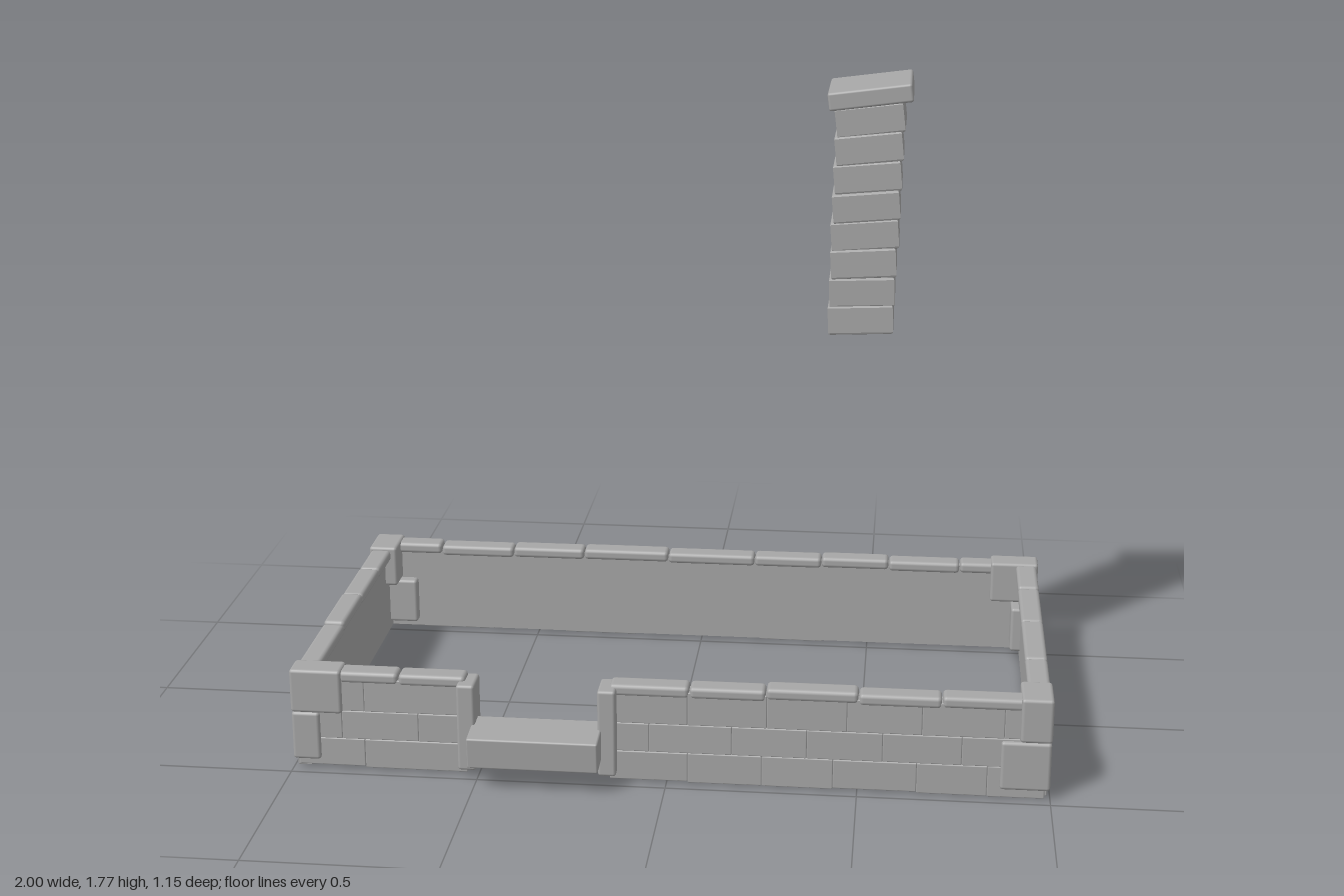
import * as THREE from 'three';
import { RoundedBoxGeometry } from 'three/addons/geometries/RoundedBoxGeometry.js';

const stone = new THREE.MeshStandardMaterial({ color: 0xa6a6a6 });
stone.name = 'grey stone';

// Small seeded jitter in the range -1..1
let seed = 7;
function jitter() {
  seed = (seed * 16807) % 2147483647;
  return (seed / 2147483647) * 2 - 1;
}

// Softly edged block given by its limits on each axis
function block(parent, name, [x0, x1], [y0, y1], [z0, z1], radius = 0.006, segments = 1) {
  const mesh = new THREE.Mesh(new RoundedBoxGeometry(x1 - x0, y1 - y0, z1 - z0, segments, radius), stone);
  mesh.name = name;
  mesh.position.set((x0 + x1) / 2, (y0 + y1) / 2, (z0 + z1) / 2);
  parent.add(mesh);
  return mesh;
}

// Wall run along local x, its outer face towards +z at distance `outer`.
// `joints` are the joints of the coping; the courses run from `from` to `to`.
function wallRun(name, outer, angle, joints, from, to) {
  const wall = new THREE.Group();
  wall.name = name;
  wall.rotation.y = angle;

  const backing = new THREE.Mesh(new THREE.BoxGeometry(to - from, 0.255, 0.012), stone);
  backing.name = 'innerFace';
  backing.position.set((from + to) / 2, 0.1375, outer - 0.036);
  wall.add(backing);

  // Three staggered brick courses
  const rows = [0.008, 0.09, 0.17, 0.262];
  for (let r = 0; r < 3; r++) {
    let x = from;
    let length = r % 2 ? 0.11 : 0.2;
    while (x < to - 0.01) {
      let end = x + length + 0.02 * jitter();
      if (to - end < 0.08) end = to;
      const bottom = rows[r] + (r === 0 ? 0.005 * jitter() : 0);
      const brick = block(wall, 'brick', [x, end], [bottom, rows[r + 1]], [outer - 0.036, outer - 0.004], 0.003);
      brick.rotation.y = 0.008 * jitter();
      brick.rotation.x = 0.015 * jitter();
      x = end;
      length = 0.2;
    }
  }

  // Rounded coping stones
  for (let i = 0; i < joints.length - 1; i++) {
    const top = 0.28 + 0.003 * jitter();
    block(wall, 'copingStone', [joints[i] + 0.001, joints[i + 1] - 0.001], [top - 0.032, top],
      [outer - 0.06, outer], 0.011, 2);
  }
  return wall;
}

// Two stacked corner stones, turned across each other
function corner(name, sx, sz, face, topAlongX) {
  const group = new THREE.Group();
  group.name = name;
  const span = (s, edge, size) => (s > 0 ? [edge - size, edge] : [-edge, -edge + size]);
  const sizes = (alongX) => (alongX ? [0.13, 0.075] : [0.075, 0.125]);
  const [tx, tz] = sizes(topAlongX);
  const [bx, bz] = sizes(!topAlongX);
  block(group, 'topCornerStone', span(sx, 1, tx + 0.008), [0.165, 0.287], span(sz, face, tz), 0.009, 2);
  block(group, 'bottomCornerStone', span(sx, 0.999, bx), [0.03, 0.165], span(sz, face - 0.002, bz), 0.009, 2);
  return group;
}

function chimney() {
  const group = new THREE.Group();
  group.name = 'chimney';

  // Hollow, slightly crooked courses
  const n = 8, h = 0.0775, bevel = 0.006;
  const rectangle = (w, d, target) => target.moveTo(-w, -d).lineTo(w, -d).lineTo(w, d).lineTo(-w, d).closePath();
  for (let i = 0; i < n; i++) {
    const t = i / (n - 1);
    const shape = rectangle(0.083 + 0.002 * jitter(), 0.098 + 0.002 * jitter(), new THREE.Shape());
    shape.holes.push(rectangle(0.07, 0.085, new THREE.Path()));
    const geometry = new THREE.ExtrudeGeometry(shape, {
      depth: h - 2 * bevel + 0.003, bevelEnabled: true, bevelSegments: 2,
      bevelSize: bevel, bevelThickness: bevel,
    });
    geometry.translate(0, 0, -h / 2 + bevel);
    geometry.rotateX(-Math.PI / 2);
    const course = new THREE.Mesh(geometry, stone);
    course.name = 'chimneyCourse';
    course.position.set(0.469 + 0.015 * t, 1.09 + h * (i + 0.5), -0.178 - 0.009 * t);
    course.rotation.set(0.01 * jitter(), 0.01 * jitter(), 0.035 + 0.085 * t + 0.01 * jitter());
    group.add(course);
  }

  // Tilted cap slab
  const cap = block(group, 'chimneyCap', [0.372, 0.595], [1.712, 1.761], [-0.315, -0.057], 0.007, 2);
  cap.rotation.z = 0.13;
  return group;
}

function doorway() {
  const group = new THREE.Group();
  group.name = 'doorway';
  block(group, 'leftPost', [-0.178, -0.13], [0.028, 0.27], [0.41, 0.5], 0.008, 2);
  block(group, 'rightPost', [-0.55, -0.502], [0.028, 0.27], [0.41, 0.5], 0.008, 2);
  const step = block(group, 'doorStep', [-0.512, -0.168], [0.073, 0.159], [0.443, 0.572], 0.005);
  step.rotation.x = 0.08;
  return group;
}

export function createModel() {
  const model = new THREE.Group();
  model.name = 'stoneFoundationAndChimney';

  // Walls: the front is interrupted by the doorway
  model.add(
    wallRun('frontWallRight', 0.472, 0, [-0.93, -0.87, -0.71, -0.53], -0.985, -0.53),
    wallRun('frontWallLeft', 0.472, 0, [-0.15, 0.06, 0.26, 0.5, 0.715, 0.93], -0.15, 0.985),
    wallRun('backWall', 0.57, Math.PI, [-0.92, -0.77, -0.56, -0.36, -0.16, 0.1, 0.355, 0.57, 0.79, 0.93], -0.985, 0.985),
    wallRun('leftWall', 0.995, Math.PI / 2, [-0.38, -0.19, 0.08, 0.33, 0.51], -0.465, 0.56),
    wallRun('rightWall', 0.995, -Math.PI / 2, [-0.46, -0.3, -0.09, 0.13, 0.42], -0.56, 0.465),
  );

  // Corners
  model.add(
    corner('frontRightCorner', -1, 1, 0.481, true),
    corner('frontLeftCorner', 1, 1, 0.481, false),
    corner('backRightCorner', -1, -1, 0.576, false),
    corner('backLeftCorner', 1, -1, 0.576, true),
  );

  model.add(doorway(), chimney());
  return model;
}
